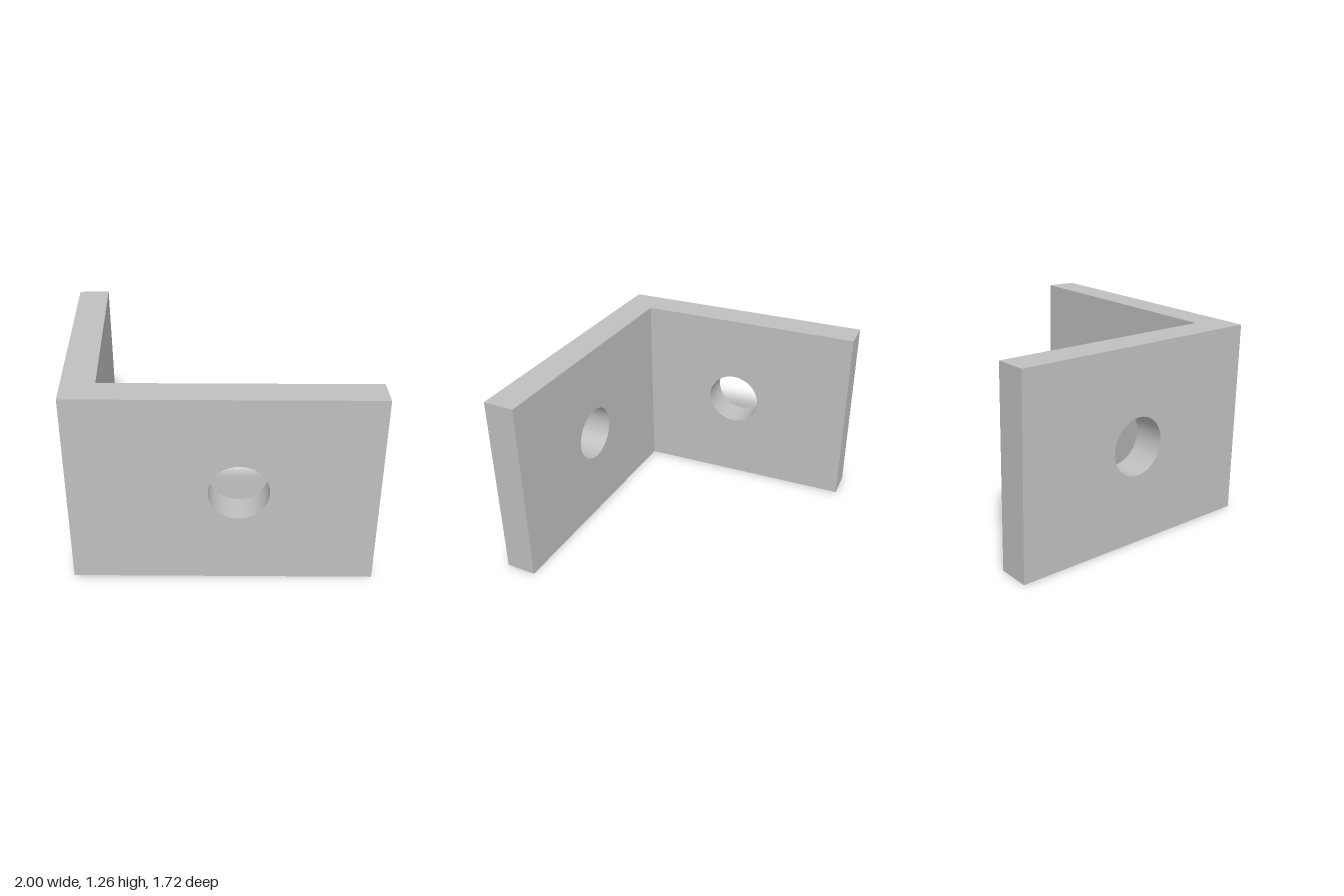
import * as THREE from 'three';
import { toCreasedNormals } from 'three/addons/utils/BufferGeometryUtils.js';

const HEIGHT = 1.26, THICKNESS = 0.207, HOLE_RADIUS = 0.186;
const LEAN = THREE.MathUtils.degToRad(4); // the side plate opens 4 degrees past square
const MITRE = THICKNESS / Math.tan((Math.PI / 2 + LEAN) / 2);

// Drilled plate running from the corner at x = 0 towards dir, outer face at z = 0.
function plate(name, length, holeAt, dir, material) {
  const [x0, x1] = dir > 0 ? [0, length] : [-length, 0];
  const shape = new THREE.Shape();
  shape.moveTo(x0, 0).lineTo(x1, 0).lineTo(x1, HEIGHT).lineTo(x0, HEIGHT).closePath();
  const hole = new THREE.Path();
  hole.absarc(dir * holeAt, HEIGHT / 2 + 0.003, HOLE_RADIUS, 0, Math.PI * 2, true);
  shape.holes.push(hole);

  const geometry = new THREE.ExtrudeGeometry(shape, { depth: THICKNESS, bevelEnabled: false, curveSegments: 32 });
  geometry.translate(0, 0, -THICKNESS);

  // Mitre the inner edge so that the two plates meet in one clean corner
  const p = geometry.attributes.position;
  for (let i = 0; i < p.count; i++) {
    if (Math.abs(p.getX(i)) < 1e-5 && p.getZ(i) < -THICKNESS / 2) p.setX(i, dir * MITRE);
  }
  const mesh = new THREE.Mesh(toCreasedNormals(geometry, Math.PI / 6), material);
  mesh.name = name;
  mesh.position.set(-0.88, 0, 0.86); // outer corner of the bracket
  return mesh;
}

export function createModel() {
  const group = new THREE.Group();
  group.name = 'angleBracket';
  const metal = new THREE.MeshStandardMaterial({ color: 0xbfbfbf });
  metal.name = 'light grey metal';

  const front = plate('frontPlate', 1.88, 1.034, 1, metal);
  const side = plate('sidePlate', 1.71, 0.863, -1, metal);
  side.rotation.y = LEAN - Math.PI / 2;
  group.add(front, side);
  return group;
}
